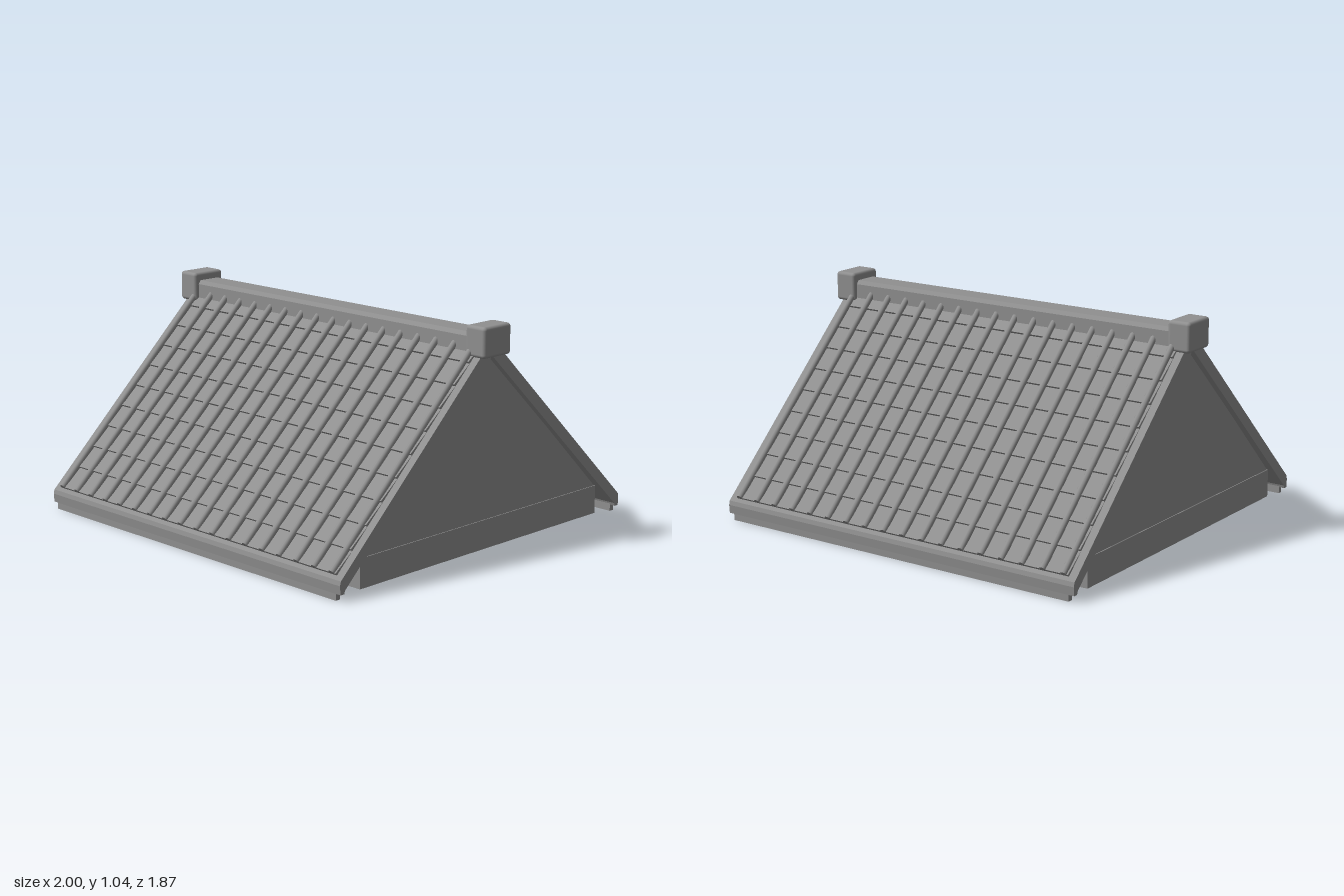
import * as THREE from 'three';
import { RoundedBoxGeometry } from 'three/addons/geometries/RoundedBoxGeometry.js';

const slate = new THREE.MeshStandardMaterial({ color: 0x909090 });
slate.name = 'slate grey';

// height of the roof surface at distance z from the ridge line
const roofY = (z) => 0.975 - 0.952 * z;
const NZ = 0.69, NY = 0.724; // outward direction of the slope

function add(parent, name, geometry, x = 0, y = 0, z = 0) {
  const mesh = new THREE.Mesh(geometry, slate);
  mesh.name = name;
  mesh.position.set(x, y, z);
  parent.add(mesh);
  return mesh;
}

// extrude a [z, y] outline along x, centred on x = 0
function prism(points, width) {
  const shape = new THREE.Shape(points.map(([z, y]) => new THREE.Vector2(z, y)));
  const geo = new THREE.ExtrudeGeometry(shape, { depth: width, bevelEnabled: false });
  return geo.translate(0, 0, -width / 2).rotateY(-Math.PI / 2);
}

// saw-tooth outline of the overlapping tile courses
function courseOutline() {
  const off = (z, d) => [z + NZ * d, roofY(z) + NY * d];
  const pts = [off(0.915, -0.006)];
  const step = 0.09;
  for (let z = 0.915; z > 0.06; z -= step) {
    pts.push(off(z, 0.013));
    const end = Math.max(z - step, 0.04);
    pts.push(off(end, 0.001));
  }
  pts.push(off(0.04, -0.006));
  return pts;
}

function createSlope() {
  const side = new THREE.Group();

  // roof deck with its upright eave edge
  add(side, 'roofDeck', prism([
    [0, 0.9], [0.905, 0.045], [0.91, 0.03], [0.932, 0.03],
    [0.935, 0.07], [0.93, 0.09], [0, roofY(0)],
  ], 1.935));
  add(side, 'fascia', new THREE.BoxGeometry(1.88, 0.07, 0.024), 0, 0.035, 0.92);
  add(side, 'tileCourses', prism(courseOutline(), 1.86));

  // round ribs running from ridge to eave
  const low = new THREE.Vector3(0, roofY(0.917) + 0.011, 0.924);
  const high = new THREE.Vector3(0, roofY(0.05) + 0.018, 0.057);
  const dir = high.clone().sub(low);
  const tilt = Math.atan2(dir.z, dir.y);
  const rib = new THREE.CylinderGeometry(0.015, 0.015, dir.length(), 10).rotateX(tilt);
  const mid = low.clone().add(high).multiplyScalar(0.5);
  for (let i = 0; i < 18; i++) {
    add(side, 'rib', rib, -0.908 + i * 0.1068, mid.y, mid.z);
  }
  return side;
}

export function createModel() {
  const model = new THREE.Group();
  model.name = 'gableRoof';

  // solid body under the roof
  add(model, 'base', new THREE.BoxGeometry(1.88, 0.135, 1.58), 0, 0.0825, 0);
  add(model, 'gable', prism([[-0.785, 0.15], [0.785, 0.15], [0, 0.91]], 1.872));

  // two mirrored slopes
  const front = createSlope();
  front.name = 'frontSlope';
  const back = createSlope();
  back.name = 'backSlope';
  back.rotation.y = Math.PI;
  model.add(front, back);

  // ridge beam and its end blocks
  add(model, 'ridgeBeam', prism([
    [-0.068, 0.915], [0.068, 0.915], [0.068, 0.985],
    [0.055, 1.003], [-0.055, 1.003], [-0.068, 0.985],
  ], 1.84));
  const block = new RoundedBoxGeometry(0.113, 0.14, 0.178, 3, 0.016);
  for (const s of [-1, 1]) add(model, 'ridgeEnd', block, s * 0.9435, 0.97, 0);

  return model;
}
